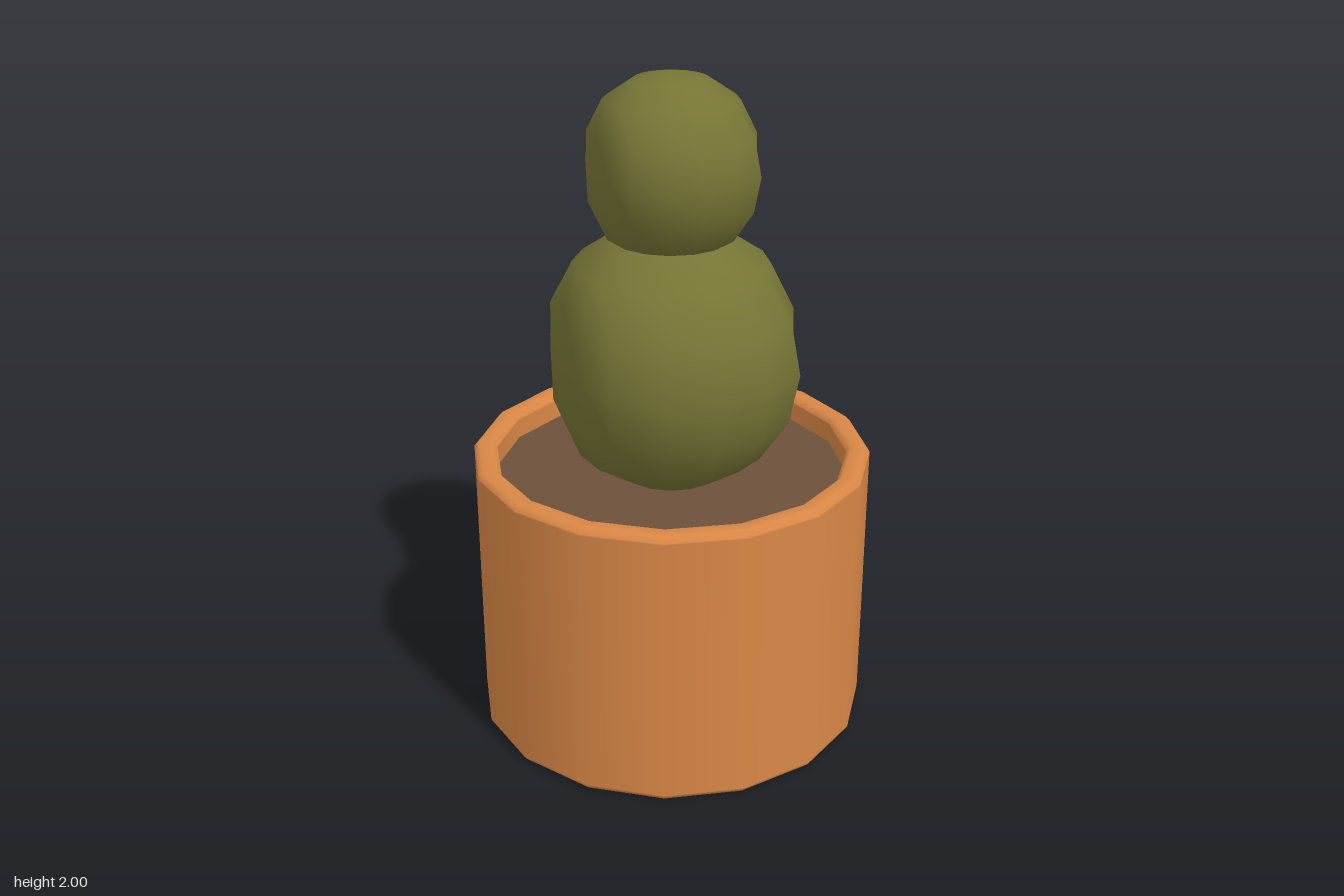
import * as THREE from 'three';
import { mergeVertices } from 'three/addons/utils/BufferGeometryUtils.js';

const SIDES = 16;

// Low-poly ball whose left and right sides are pressed flat.
function padGeometry(radius, halfWidth) {
  let geo = new THREE.SphereGeometry(radius, SIDES, 8);
  const pos = geo.attributes.position;
  for (let i = 0; i < pos.count; i++) {
    pos.setX(i, THREE.MathUtils.clamp(pos.getX(i), -halfWidth, halfWidth));
  }
  geo.deleteAttribute('uv');
  geo.deleteAttribute('normal');
  geo = mergeVertices(geo, 1e-4);
  geo.computeVertexNormals();
  return geo;
}

export function createModel() {
  const clay = new THREE.MeshStandardMaterial({ color: 0xd98746 });
  clay.name = 'terracotta';
  const earth = new THREE.MeshStandardMaterial({ color: 0x6d513b });
  earth.name = 'soil brown';
  const green = new THREE.MeshStandardMaterial({ color: 0x767536 });
  green.name = 'cactus green';

  const model = new THREE.Group();
  model.name = 'pottedCactus';
  const add = (name, geometry, material, y = 0) => {
    const mesh = new THREE.Mesh(geometry, material);
    mesh.name = name;
    mesh.position.y = y;
    model.add(mesh);
  };

  // Pot wall: bevelled at the foot and rim, then down the inside.
  const profile = [
    [0.588, 0], [0.6, 0.012], [0.6, 0.018],
    [0.6, 0.844], [0.6, 0.85], [0.585, 0.865],
    [0.545, 0.865], [0.53, 0.85], [0.53, 0.844], [0.53, 0.77],
  ].map(([r, y]) => new THREE.Vector2(r, y));
  add('potWall', new THREE.LatheGeometry(profile, SIDES), clay);

  // Flat underside of the pot
  add('potBase', new THREE.CircleGeometry(0.588, SIDES).rotateX(Math.PI / 2), clay);

  // Soil surface
  add('soil', new THREE.CircleGeometry(0.535, SIDES).rotateX(-Math.PI / 2), earth, 0.785);

  // Two stacked cactus pads
  add('lowerPad', padGeometry(0.406, 0.325), green, 1.16);
  add('upperPad', padGeometry(0.273, 0.218), green, 1.727);

  return model;
}
